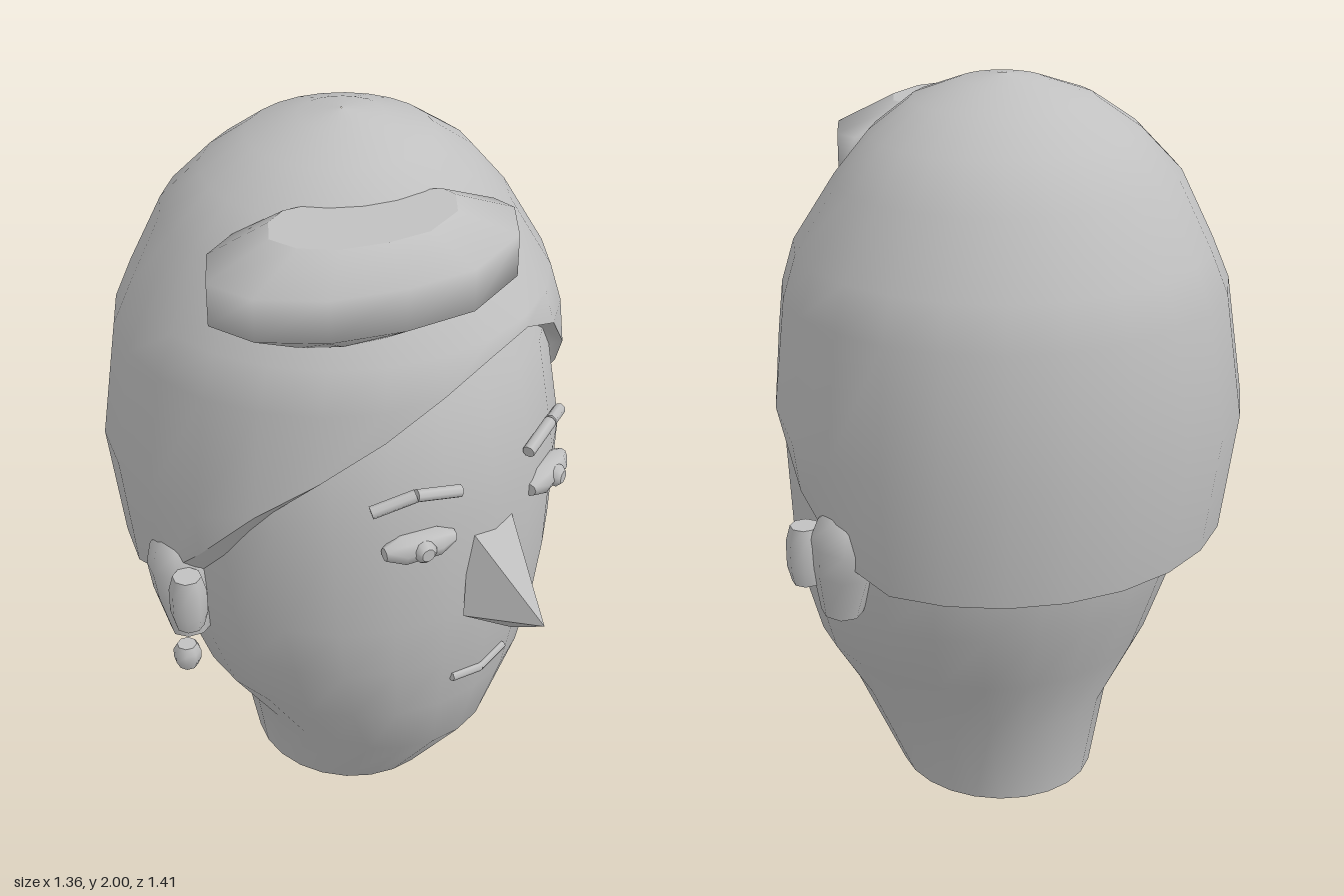
import * as THREE from 'three';

const SEG = 24;
const grey = new THREE.MeshStandardMaterial({ color: 0xc0c0c0 });
grey.name = 'plainGrey';

function add(parent, name, geometry) {
  const m = new THREE.Mesh(geometry, grey);
  m.name = name;
  parent.add(m);
  return m;
}

// Skin closed rings of [x, y, z], listed bottom to top and anticlockwise from above
function loft(rings, capBottom = false, capTop = false) {
  const n = rings[0].length, pos = rings.flat(2), idx = [];
  for (let i = 0; i < rings.length - 1; i++)
    for (let j = 0; j < n; j++) {
      const a = i * n + j, b = i * n + (j + 1) % n;
      idx.push(a, b, b + n, a, b + n, a + n);
    }
  const cap = (ring, up) => {
    const s = pos.length / 3;
    pos.push(...ring.flat());
    for (let j = 1; j < n - 1; j++) idx.push(s, s + (up ? j : j + 1), s + (up ? j + 1 : j));
  };
  if (capBottom) cap(rings[0], false);
  if (capTop) cap(rings[rings.length - 1], true);
  const g = new THREE.BufferGeometry();
  g.setAttribute('position', new THREE.Float32BufferAttribute(pos, 3));
  g.setIndex(idx);
  g.computeVertexNormals();
  return g;
}

// Linear lookup in rows sorted by their first number
function sample(rows, t) {
  let i = 0;
  while (i < rows.length - 2 && t > rows[i + 1][0]) i++;
  const a = rows[i], b = rows[i + 1];
  const k = THREE.MathUtils.clamp((t - a[0]) / (b[0] - a[0]), 0, 1);
  return a.map((v, c) => v + (b[c] - v) * k);
}

// Point on an elliptical section; rows hold y, half width, front z, back z
function sectionPoint(rows, y, angle) {
  const [, rx, zf, zb] = sample(rows, y);
  return [rx * Math.sin(angle), y, (zf + zb) / 2 + (zf - zb) / 2 * Math.cos(angle)];
}

const angles = Array.from({ length: SEG }, (_, i) => i / SEG * Math.PI * 2);

const headRows = [
  [0, 0.27, 0.24, -0.33], [0.25, 0.34, 0.42, -0.37], [0.45, 0.47, 0.475, -0.46],
  [0.63, 0.53, 0.505, -0.52], [0.79, 0.565, 0.52, -0.57], [1.1, 0.59, 0.525, -0.61],
  [1.42, 0.55, 0.465, -0.58], [1.7, 0.4, 0.28, -0.44], [1.88, 0.15, 0.08, -0.22],
];
const hairRows = [
  [0.8, 0.61, 0.47, -0.66], [1.13, 0.645, 0.53, -0.705], [1.46, 0.6, 0.5, -0.655],
  [1.57, 0.555, 0.475, -0.61], [1.75, 0.46, 0.35, -0.52], [1.86, 0.36, 0.265, -0.41],
  [1.94, 0.24, 0.17, -0.3], [1.985, 0.11, 0.05, -0.17], [2, 0.002, -0.058, -0.062],
];
// Height of the hairline by angle in degrees from the front, left side positive
const hairline = [
  [-180, 0.8], [-97, 0.8], [-80, 0.93], [-75, 1.0], [-60, 1.17], [-45, 1.28], [-30, 1.38],
  [-15, 1.47], [0, 1.525], [15, 1.54], [30, 1.475], [45, 1.33], [60, 1.17], [75, 1.0],
  [80, 0.93], [97, 0.8], [180, 0.8],
];
const hairlineY = a => sample(hairline, THREE.MathUtils.radToDeg(a > Math.PI ? a - 2 * Math.PI : a))[1];

// Straight rod between two points
function rod(parent, name, from, to, radius, sides) {
  const a = new THREE.Vector3(...from), b = new THREE.Vector3(...to);
  const m = add(parent, name, new THREE.CylinderGeometry(radius, radius, a.distanceTo(b), sides));
  m.position.copy(a).add(b).multiplyScalar(0.5);
  m.quaternion.setFromUnitVectors(new THREE.Vector3(0, 1, 0), b.sub(a).normalize());
  return m;
}

// Turned form with flat ends; profile holds radius, height from the bottom up
function turned(profile, sides) {
  const rings = profile.map(([r, y]) => Array.from({ length: sides }, (_, i) => {
    const t = i / sides * Math.PI * 2;
    return [r * Math.sin(t), y, r * Math.cos(t)];
  }));
  return loft(rings, true, true);
}

export function createModel() {
  const model = new THREE.Group();
  model.name = 'headBust';

  // Head and neck
  add(model, 'head', loft(headRows.map(r => angles.map(a => sectionPoint(headRows, r[0], a))), true, true));

  // Hair cap cut along the hairline, with a rim back to the skin
  const hair = new THREE.Group();
  hair.name = 'hair';
  model.add(hair);
  const hairRings = hairRows.map(r => angles.map(a => sectionPoint(hairRows, Math.max(r[0], hairlineY(a)), a)));
  add(hair, 'hairCap', loft(hairRings));
  const inner = angles.map(a => sectionPoint(headRows, hairlineY(a), a));
  add(hair, 'hairRim', loft([inner, hairRings[0]]));

  // Swept forelock with bevelled, flat top and bottom
  const outline = [
    [-0.57, 0.27], [-0.45, 0.39], [-0.28, 0.47], [-0.1, 0.51], [0.1, 0.46], [0.2, 0.35],
    [0.2, 0.28], [0.05, 0.15], [-0.2, 0.05], [-0.4, -0.01], [-0.51, 0.03], [-0.6, 0.14],
  ];
  const lockRings = [[1.63, 0.6], [1.7, 1], [1.81, 1], [1.88, 0.6]].map(([y, s]) =>
    outline.map(([x, z]) => [-0.2 + (x + 0.2) * s, y + (s < 1 && y < 1.7 ? (x + 0.3) * 0.04 : 0), 0.23 + (z - 0.23) * s]));
  add(hair, 'forelock', loft(lockRings, true, true));

  // Faceted nose
  const A = [-0.075, 1.05, 0.5], B = [0.075, 1.05, 0.5], L = [-0.105, 0.79, 0.52],
    R = [0.105, 0.79, 0.52], T = [0, 0.81, 0.71], U = [0, 0.74, 0.6];
  const nose = new THREE.BufferGeometry();
  nose.setAttribute('position', new THREE.Float32BufferAttribute(
    [A, T, B, A, L, T, B, T, R, L, U, T, U, R, T, L, R, U].flat(), 3));
  nose.computeVertexNormals();
  add(model, 'nose', nose);

  for (const s of [-1, 1]) {
    const side = s > 0 ? 'left' : 'right';

    // Eye: a faceted spindle with a small round pupil
    const eye = new THREE.Group();
    eye.name = side + 'Eye';
    eye.position.set(s * 0.235, 1.07, 0.48);
    eye.rotation.y = s * 0.3;
    model.add(eye);
    add(eye, 'eyeball', turned([[0.018, -0.098], [0.04, -0.05], [0.04, 0.05], [0.018, 0.098]], 8))
      .rotation.z = Math.PI / 2;
    const pupil = add(eye, 'pupil', turned([[0.03, 0], [0.03, 0.04], [0.018, 0.052]], 10));
    pupil.rotation.x = Math.PI / 2;

    // Eyebrow in two rods
    const mid = [s * 0.245, 1.222, 0.475];
    rod(model, side + 'InnerBrow', [s * 0.125, 1.198, 0.51], mid, 0.017, 8);
    rod(model, side + 'OuterBrow', mid, [s * 0.345, 1.19, 0.42], 0.017, 8);

    // Mouth half
    rod(model, side + 'Lip', [0, 0.535, 0.493], [s * 0.1, 0.55, 0.482], 0.013, 6);

    // Ear shell with a barrel in front
    const ear = add(model, side + 'Ear',
      turned([[0.055, -0.15], [0.085, -0.02], [0.092, 0.06], [0.075, 0.12], [0.04, 0.15]], 8));
    ear.position.set(s * 0.575, 0.83, -0.06);
    ear.rotation.x = -0.12;
    add(model, side + 'EarFold', turned([[0.038, -0.08], [0.05, -0.035], [0.05, 0.035], [0.038, 0.08]], 8))
      .position.set(s * 0.63, 0.84, 0.03);
  }

  // Single earring
  add(model, 'earring', turned([[0.026, -0.035], [0.037, -0.01], [0.037, 0.015], [0.026, 0.035]], 8))
    .position.set(-0.645, 0.667, 0.03);

  return model;
}
